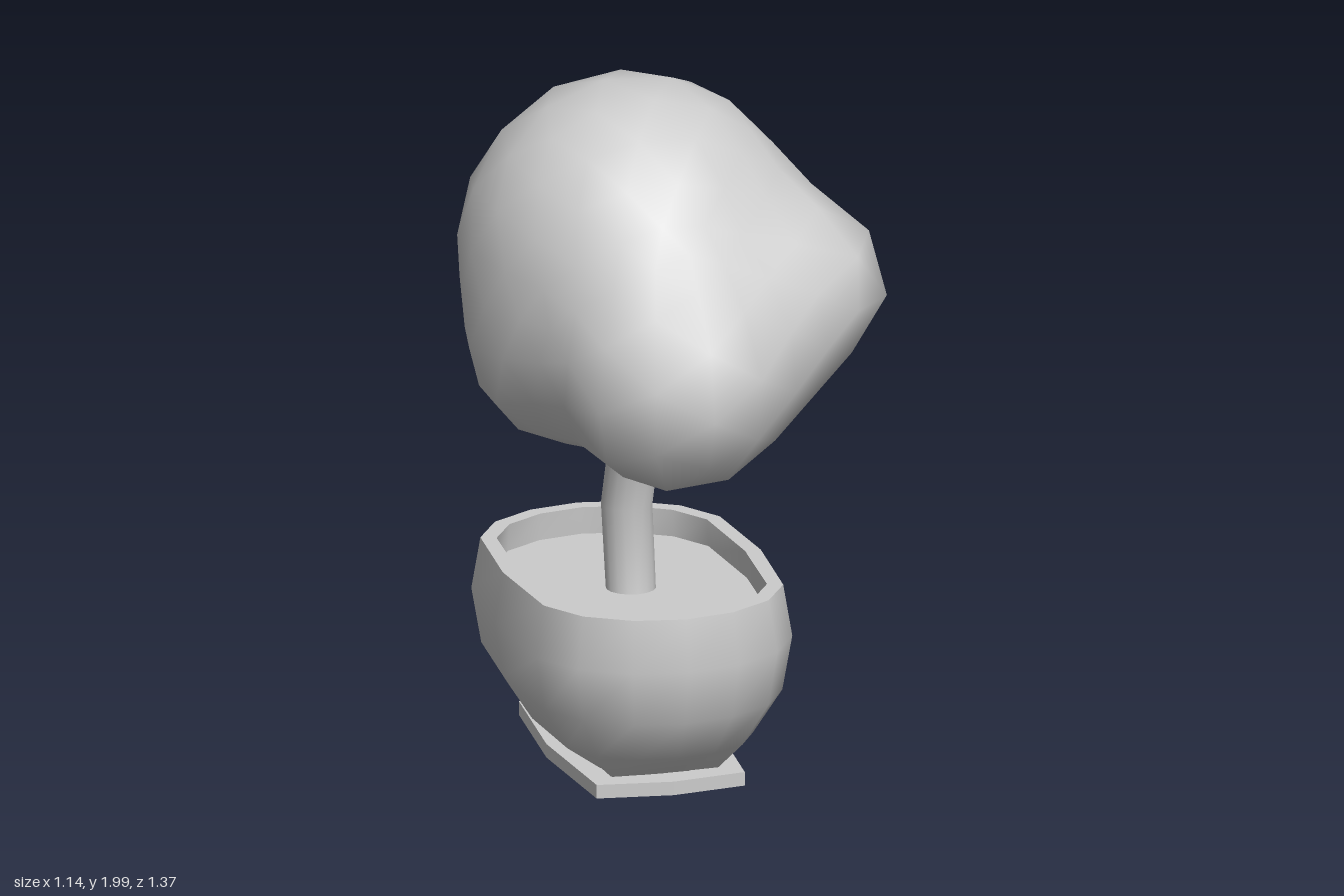
import * as THREE from 'three';
import { mergeVertices, toCreasedNormals } from 'three/addons/utils/BufferGeometryUtils.js';

const material = new THREE.MeshStandardMaterial({ color: 0xcccccc });
const SIDES = 16;

function add(group, name, geometry) {
  const mesh = new THREE.Mesh(geometry, material);
  mesh.name = name;
  group.add(mesh);
}

// Skin over horizontal rings: y height, r radius, straight = half length of the
// straight sides, square = 0 round to 1 rectangular, z = shift of the centre
function loft(rings, crease = 0.8) {
  const pos = [], index = [];
  for (const { y, r, straight = 0, square = 0, z = 0 } of rings) {
    for (let j = 0; j < SIDES; j++) {
      const t = (j / SIDES) * Math.PI * 2;
      const s = Math.sin(t), c = Math.cos(t);
      const k = r / THREE.MathUtils.lerp(1, Math.max(Math.abs(s), Math.abs(c)), square);
      const end = Math.abs(c) < 1e-6 ? 0 : Math.sign(c);
      pos.push(s * k, y, z + c * k + end * straight);
    }
  }
  for (let i = 0; i < rings.length - 1; i++) {
    for (let j = 0; j < SIDES; j++) {
      const a = i * SIDES + j, b = i * SIDES + (j + 1) % SIDES;
      index.push(a, b, b + SIDES, a, b + SIDES, a + SIDES);
    }
  }
  const g = new THREE.BufferGeometry();
  g.setAttribute('position', new THREE.Float32BufferAttribute(pos, 3));
  g.setIndex(index);
  return toCreasedNormals(g, crease);
}

// Crown: a sphere whose vertices are pushed out to a soft union of balls
function crownGeometry() {
  const balls = [
    [-0.085, 1.505, -0.09, 0.492], // main mass
    [-0.09, 1.24, 0.37, 0.318],    // low front lobe
    [0.36, 1.425, 0.16, 0.228],    // left lobe
    [0.15, 1.3, 0.28, 0.19],       // bridge between the two lobes
    [-0.34, 1.2, -0.02, 0.205],    // low right lobe
  ].map(([x, y, z, r]) => ({ centre: new THREE.Vector3(x, y, z), r }));
  const blend = 0.2;
  const distance = (p) => balls.reduce((d, b) => {
    const e = p.distanceTo(b.centre) - b.r;
    const h = Math.max(blend - Math.abs(d - e), 0) / blend;
    return Math.min(d, e) - h * h * blend / 4;
  }, 10);

  let g = new THREE.IcosahedronGeometry(1, 3);
  g.deleteAttribute('normal');
  g.deleteAttribute('uv');
  g = mergeVertices(g, 1e-4);
  const origin = new THREE.Vector3(-0.06, 1.4, 0.06);
  const p = g.attributes.position, dir = new THREE.Vector3(), q = new THREE.Vector3();
  for (let i = 0; i < p.count; i++) {
    dir.fromBufferAttribute(p, i).normalize();
    let near = 0, far = 1.2;
    for (let n = 0; n < 24; n++) {
      const mid = (near + far) / 2;
      if (distance(q.copy(origin).addScaledVector(dir, mid)) < 0) near = mid;
      else far = mid;
    }
    q.copy(origin).addScaledVector(dir, near);
    p.setXYZ(i, q.x, q.y, q.z);
  }
  g.computeVertexNormals();
  return g;
}

export function createModel() {
  const model = new THREE.Group();
  model.name = 'pottedTree';

  // Everything below the crown shares one centre line
  const base = new THREE.Group();
  base.name = 'planter';
  base.position.set(-0.08, 0, -0.1);
  model.add(base);

  // Saucer: rectangle with slightly bowed sides
  const outline = [[0.25, 0], [0.217, 0.4], [0, 0.43], [-0.217, 0.4],
    [-0.25, 0], [-0.217, -0.4], [0, -0.43], [0.217, -0.4]];
  const saucer = new THREE.ExtrudeGeometry(
    new THREE.Shape(outline.map(([x, y]) => new THREE.Vector2(x, y))),
    { depth: 0.04, bevelEnabled: false });
  add(base, 'saucer', saucer.rotateX(-Math.PI / 2));

  // Bowl: outer wall, rim and inner wall
  const straight = 0.18;
  add(base, 'bowl', loft([
    { y: 0.035, r: 0.16, straight, square: 0.9 },
    { y: 0.12, r: 0.292, straight, square: 0.1 },
    { y: 0.25, r: 0.375, straight, square: 0.08 },
    { y: 0.41, r: 0.403, straight, square: 0.08 },
    { y: 0.56, r: 0.378, straight, square: 0.06 },
    { y: 0.56, r: 0.332, straight, square: 0.06 },
    { y: 0.47, r: 0.338, straight, square: 0.06 },
  ], 1.1));

  // Soil
  add(base, 'soil', loft([
    { y: 0.48, r: 0.338, straight, square: 0.06 },
    { y: 0.48, r: 0 },
  ]));

  // Bent trunk
  add(base, 'trunk', loft([
    { y: 0.45, r: 0.071, z: -0.005 },
    { y: 0.715, r: 0.073, z: -0.053 },
    { y: 1.0, r: 0.073, z: 0.055 },
    { y: 1.12, r: 0.073, z: 0.1 },
  ]));

  add(model, 'crown', crownGeometry());
  return model;
}
